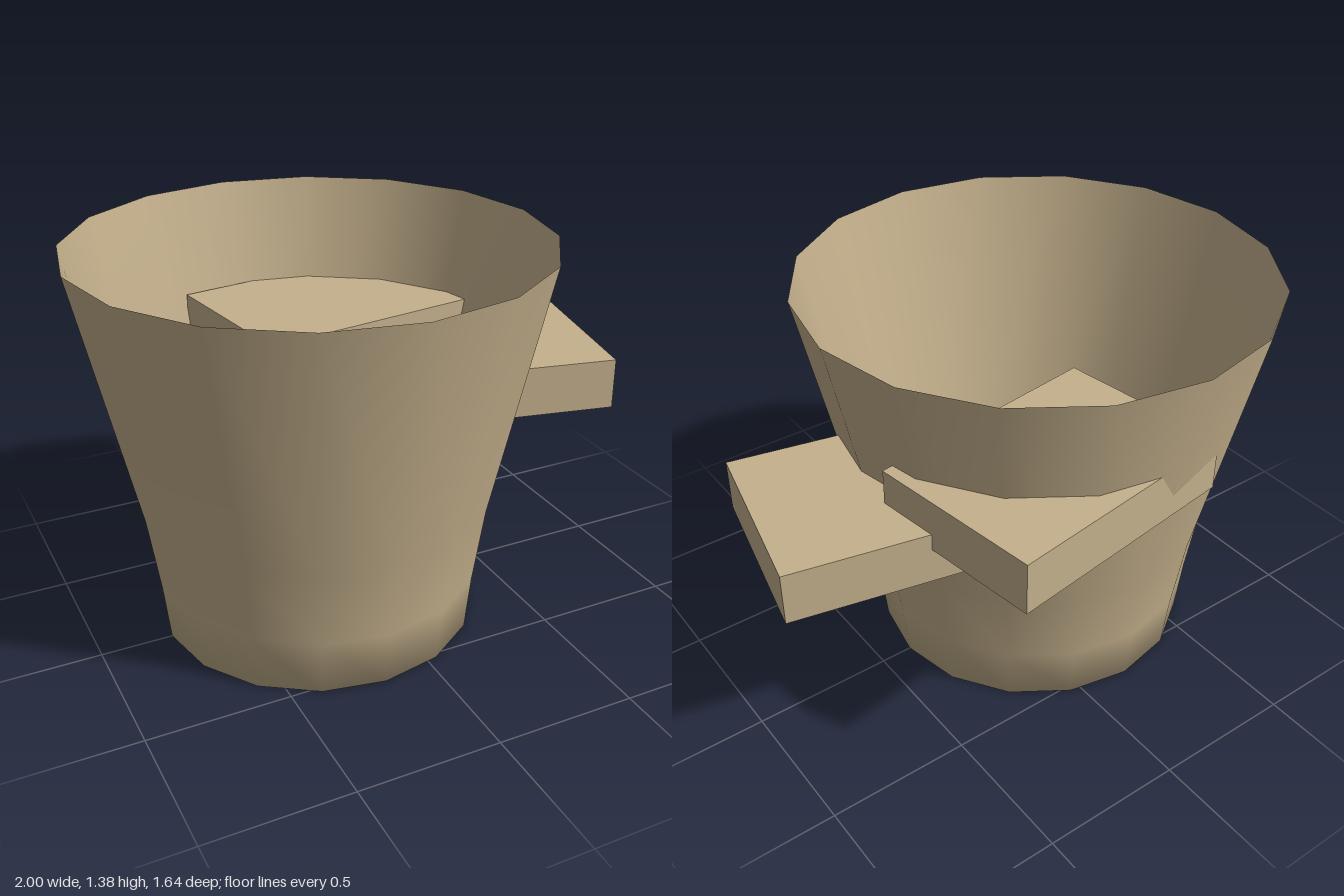
import * as THREE from 'three';

export function createModel() {
  const group = new THREE.Group();
  const tan = new THREE.MeshStandardMaterial({ color: 0xc4b08c });
  const tanThin = tan.clone();
  tanThin.side = THREE.DoubleSide;

  // Open sixteen-sided cup, smooth from floor into wall
  const profile = [
    [0, 0], [0.45, 0], [0.565, 0], [0.585, 0.2], [0.625, 0.48], [0.82, 1.38],
  ].map(([r, y]) => new THREE.Vector2(r, y));
  const cup = new THREE.Mesh(new THREE.LatheGeometry(profile, 16), tanThin);
  cup.name = 'cup';
  cup.position.x = -0.18;
  group.add(cup);

  // Flat blocks that pierce the cup wall
  const addBlock = (name, x, z, bottom, top, turn) => {
    const block = new THREE.Mesh(new THREE.BoxGeometry(0.873, top - bottom, 0.627), tan);
    block.name = name;
    block.position.set(x, (bottom + top) / 2, z);
    block.rotation.y = turn;
    group.add(block);
  };
  addBlock('lowerBlock', 0.505, -0.093, 0.695, 0.88, -0.21);
  addBlock('upperBlock', 0.085, -0.437, 0.82, 1.005, 0.143);

  return group;
}
